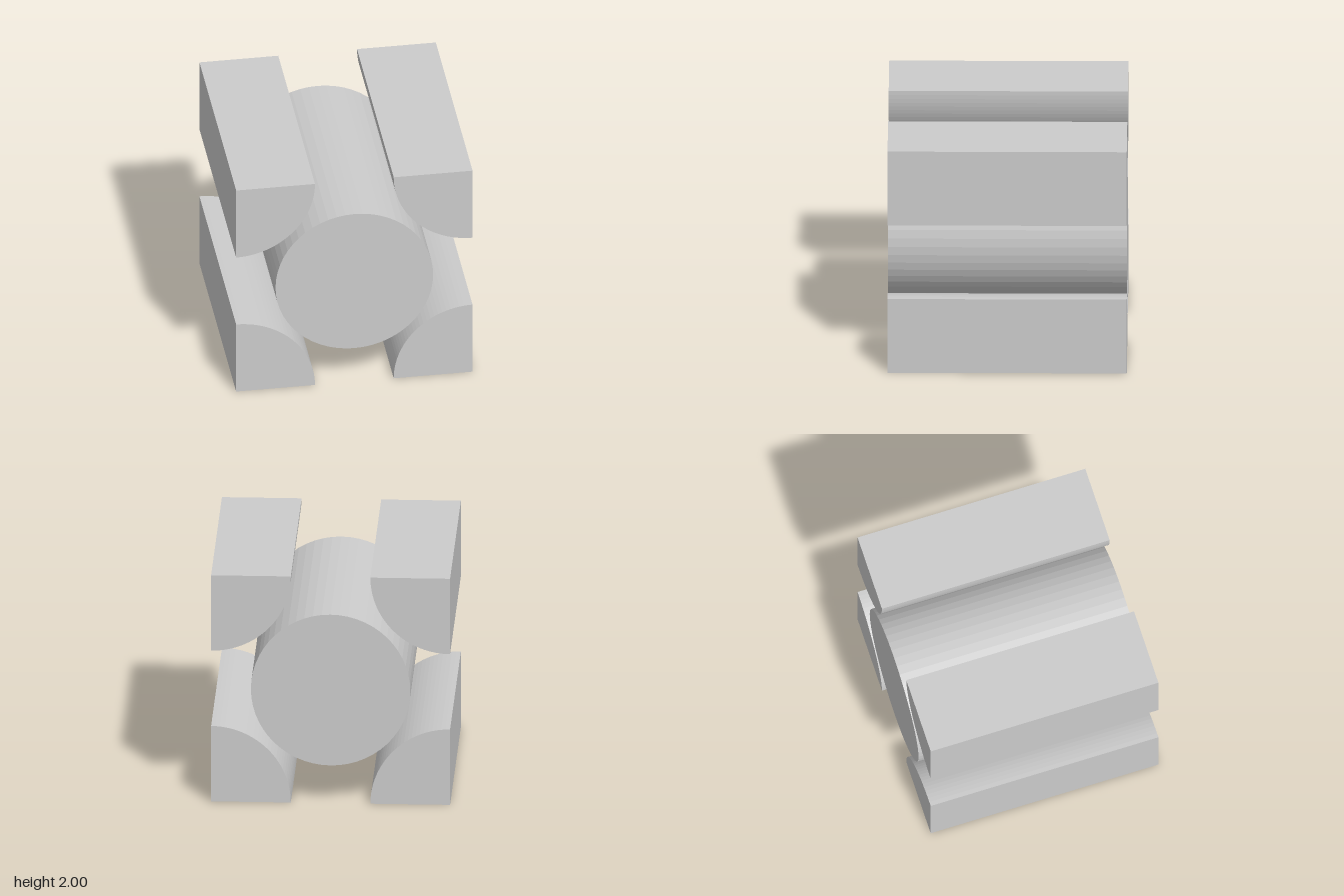
import * as THREE from 'three';

const RADIUS = 0.667;
const LENGTH = 2;
const SEGMENTS = 56;

export function createModel() {
  const model = new THREE.Group();
  const material = new THREE.MeshStandardMaterial({ color: 0xcccccc, flatShading: true });

  // Full rod through the middle, lying along z
  const rod = new THREE.CylinderGeometry(RADIUS, RADIUS, LENGTH, SEGMENTS);
  rod.rotateX(Math.PI / 2);
  const centreRod = new THREE.Mesh(rod, material);
  centreRod.name = 'centreRod';
  centreRod.position.y = 1;
  model.add(centreRod);

  // Quarter rod with its square corner at the lower edge of the cube
  const quarter = new THREE.Shape();
  quarter.moveTo(-1, -1);
  quarter.lineTo(-1 + RADIUS, -1);
  quarter.absarc(-1, -1, RADIUS, 0, Math.PI / 2, false);
  quarter.lineTo(-1, -1);
  const quarterRod = new THREE.ExtrudeGeometry(quarter, {
    depth: LENGTH, bevelEnabled: false, curveSegments: SEGMENTS / 4,
  });
  quarterRod.translate(0, 0, -LENGTH / 2);

  // Repeated by quarter turns around the centre for all four edges
  const names = ['lowerRight', 'lowerLeft', 'upperLeft', 'upperRight'];
  names.forEach((name, i) => {
    const mesh = new THREE.Mesh(quarterRod, material);
    mesh.name = `${name}QuarterRod`;
    mesh.position.y = 1;
    mesh.rotation.z = i * Math.PI / 2;
    model.add(mesh);
  });

  return model;
}
